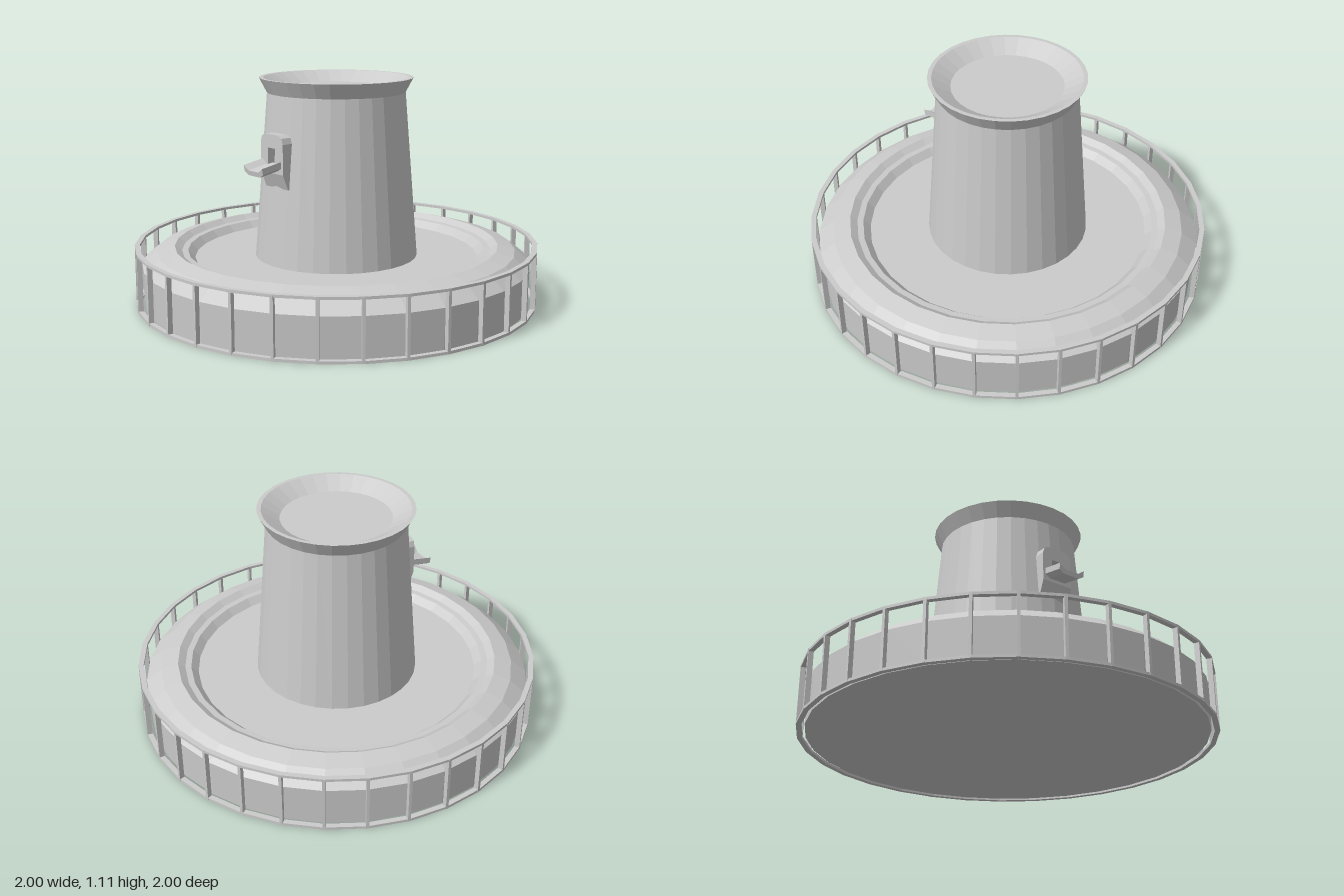
import * as THREE from 'three';

const SIDES = 32;
const material = new THREE.MeshStandardMaterial({ color: 0xcccccc, flatShading: true });

function add(parent, geometry, name) {
  const mesh = new THREE.Mesh(geometry, material);
  mesh.name = name;
  parent.add(mesh);
  return mesh;
}

// Turned part from [radius, height] pairs, listed from the bottom up
const turned = (profile) =>
  new THREE.LatheGeometry(profile.map(([r, y]) => new THREE.Vector2(r, y)), SIDES);

const outline = (points) => new THREE.Shape(points.map(([x, y]) => new THREE.Vector2(x, y)));

const extrude = (shape, depth) =>
  new THREE.ExtrudeGeometry(shape, { depth, bevelEnabled: false });

function createRailing() {
  const railing = new THREE.Group();
  railing.name = 'railing';
  const inner = 0.975, outer = 1, thick = 0.013, height = 0.295;

  // Bottom and top hoops with a square section
  const hoop = (y) => turned([[inner, y], [outer, y], [outer, y + thick], [inner, y + thick], [inner, y]]);
  add(railing, hoop(0), 'bottomRail');
  add(railing, hoop(height - thick), 'topRail');

  // One upright at every corner
  for (let i = 0; i < SIDES; i++) {
    const angle = (i / SIDES) * Math.PI * 2;
    const post = add(railing, new THREE.BoxGeometry(0.014, height, outer - inner), 'railPost');
    const r = (inner + outer) / 2;
    post.position.set(Math.sin(angle) * r, height / 2, Math.cos(angle) * r);
    post.rotation.y = angle;
  }
  return railing;
}

function createSpout() {
  const spout = new THREE.Group();
  spout.name = 'spout';

  // Back plate with chamfered top corners and a small window
  const plate = outline([
    [-0.085, 0.68], [0.085, 0.68], [0.085, 0.825], [0.075, 0.853],
    [0.05, 0.865], [-0.05, 0.865], [-0.075, 0.853], [-0.085, 0.825],
  ]);
  plate.holes.push(outline([[-0.03, 0.72], [-0.03, 0.8], [0.03, 0.8], [0.03, 0.72]]));
  add(spout, extrude(plate, 0.07), 'spoutPlate').position.z = 0.33;

  // Wedge that tapers the plate back into the tower
  const wedge = outline([[-0.33, 0.605], [-0.33, 0.68], [-0.4, 0.68], [-0.37, 0.605]]);
  const wedgeMesh = add(spout, extrude(wedge, 0.17), 'spoutWedge');
  wedgeMesh.rotation.y = Math.PI / 2;
  wedgeMesh.position.x = -0.085;

  // Shallow trough tipped slightly downwards
  const trough = outline([
    [-0.072, 0.022], [-0.072, -0.008], [-0.045, -0.024], [0.045, -0.024],
    [0.072, -0.008], [0.072, 0.022], [0.04, 0], [-0.04, 0],
  ]);
  const tray = add(spout, extrude(trough, 0.135), 'spoutTray');
  tray.position.set(0, 0.725, 0.375);
  tray.rotation.x = 0.18;
  return spout;
}

export function createModel() {
  const model = new THREE.Group();
  model.name = 'towerOnRoundBase';

  // Round base with bevelled shoulder and stepped, sunken floor
  add(model, turned([
    [0, 0.005], [0.96, 0.005], [0.967, 0.2], [0.89, 0.262], [0.805, 0.285],
    [0.77, 0.262], [0.74, 0.26], [0.705, 0.225], [0, 0.225],
  ]), 'base');

  // Tapered tower with flared lip and dished top
  add(model, turned([
    [0.405, 0.22], [0.34, 1.04], [0.378, 1.112], [0.358, 1.112], [0.27, 1.06], [0, 1.06],
  ]), 'tower');

  model.add(createRailing(), createSpout());
  return model;
}
